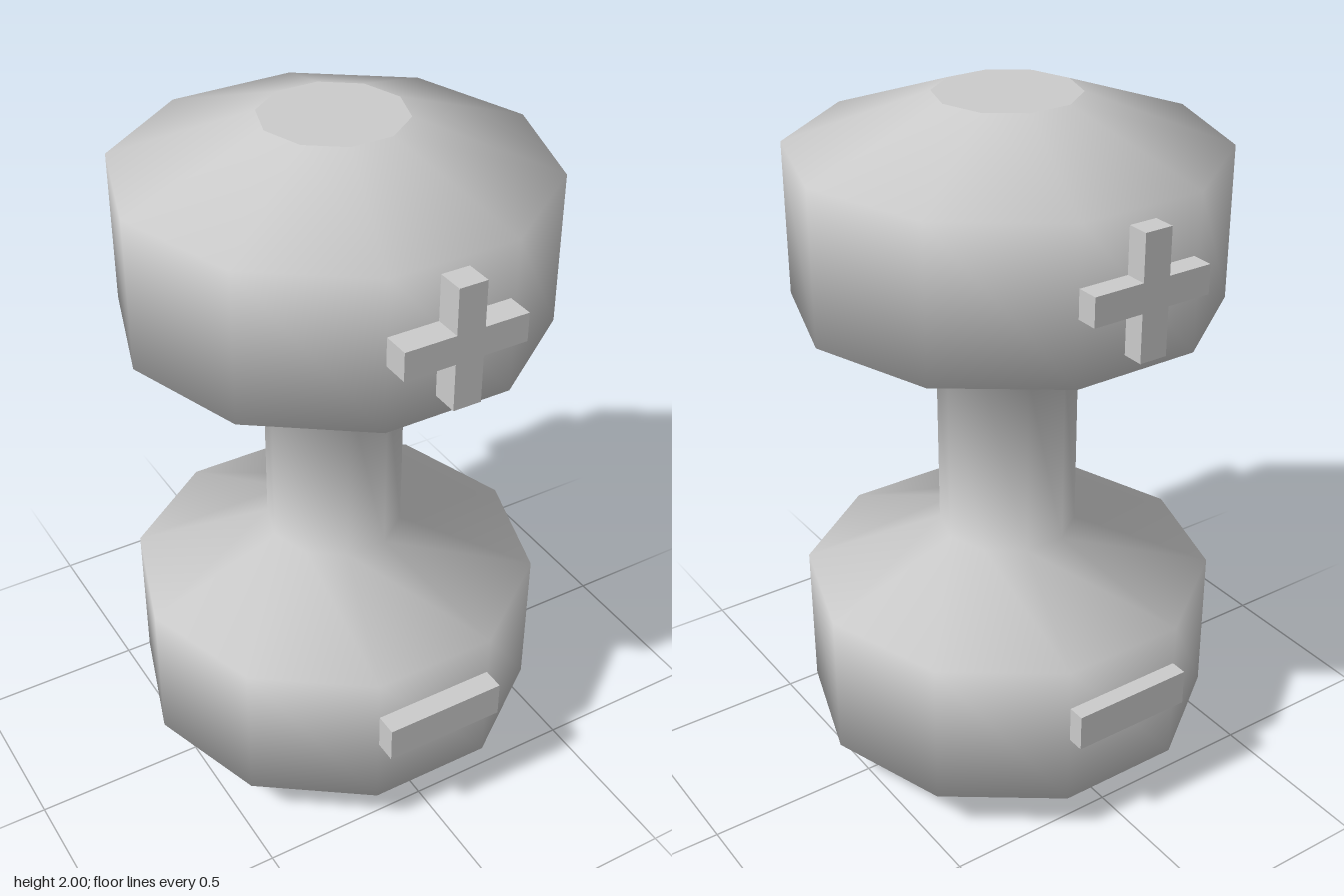
import * as THREE from 'three';

const SIDES = 10;
const CENTRE_Z = -0.008;

export function createModel() {
  const group = new THREE.Group();
  const material = new THREE.MeshStandardMaterial({ color: 0xcccccc });

  const add = (name, geometry, x, y, z) => {
    const mesh = new THREE.Mesh(geometry, material);
    mesh.name = name;
    mesh.position.set(x, y, z);
    group.add(mesh);
    return mesh;
  };

  // Ten-sided body: lower weight, grip and upper weight in one turned profile
  const profile = [
    [0.198, 0], [0.593, 0.14], [0.593, 0.575], [0.198, 0.72],
    [0.198, 1.27], [0.593, 1.43], [0.593, 1.86], [0.198, 2],
  ].map(([r, y]) => new THREE.Vector2(r, y));
  add('dumbbellBody', new THREE.LatheGeometry(profile, SIDES, Math.PI / 2), 0, 0, CENTRE_Z);

  // Flat end caps
  const cap = new THREE.CircleGeometry(0.198, SIDES);
  add('topCap', cap, 0, 2, CENTRE_Z).rotation.x = -Math.PI / 2;
  add('bottomCap', cap, 0, 0, CENTRE_Z).rotation.x = Math.PI / 2;

  // Raised plus outline: horizontal bar crossed by a vertical bar
  const plus = new THREE.Shape([
    [-0.04, -0.17], [0.04, -0.17], [0.04, -0.037], [0.167, -0.037],
    [0.167, 0.043], [0.04, 0.043], [0.04, 0.17], [-0.04, 0.17],
    [-0.04, 0.043], [-0.184, 0.043], [-0.184, -0.037], [-0.04, -0.037],
  ].map(([x, y]) => new THREE.Vector2(x, y)));
  const plusGeometry = new THREE.ExtrudeGeometry(plus, { depth: 0.09, bevelEnabled: false });
  const minusGeometry = new THREE.BoxGeometry(0.36, 0.107, 0.09);

  // Plus on the upper weight and minus on the lower one, front and back
  add('frontPlus', plusGeometry, 0, 1.661, 0.543);
  add('backPlus', plusGeometry, 0, 1.654, -0.543).rotation.y = Math.PI;
  add('frontMinus', minusGeometry, 0, 0.402, 0.575);
  add('backMinus', minusGeometry, 0, 0.402, -0.576);

  return group;
}
